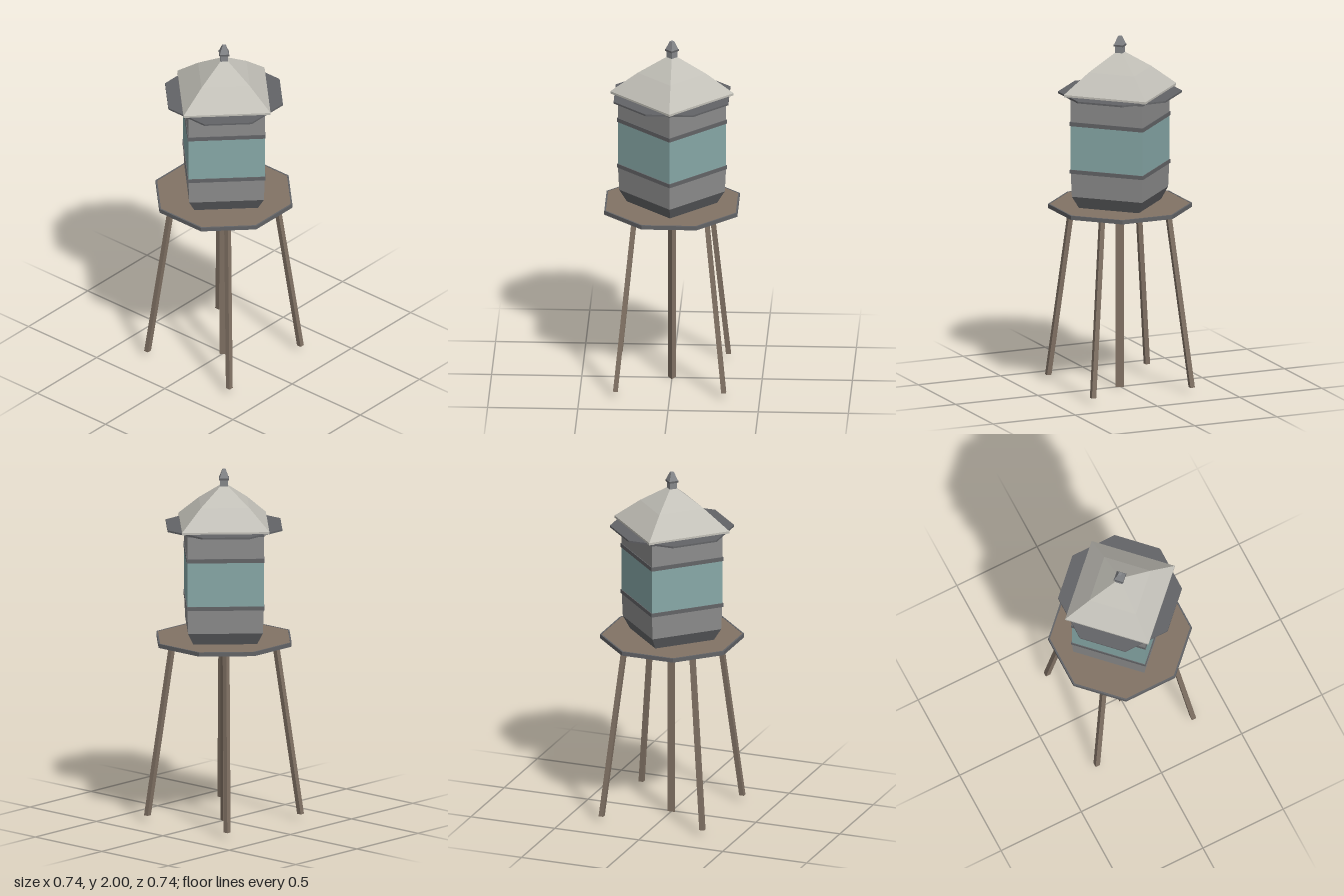
import * as THREE from 'three';

const paint = (name, color) => new THREE.MeshStandardMaterial({ name, color, flatShading: true });

export function createModel() {
  const tower = new THREE.Group();
  tower.name = 'waterTower';

  const wood = paint('wood', 0x827365);
  const iron = paint('dark iron', 0x636467);
  const steel = paint('grey steel', 0x8c8c8c);
  const teal = paint('teal paint', 0x87a8a7);
  const tin = paint('pale tin', 0xc2c0b8);
  const finialGrey = paint('finial grey', 0x85878a);

  const add = (name, geometry, material) => {
    const mesh = new THREE.Mesh(geometry, material);
    mesh.name = name;
    tower.add(mesh);
    return mesh;
  };

  // Upright prism between two heights; four sides put the corners on the axes
  const prism = (name, material, y0, y1, r0, r1 = r0, sides = 4, open = false) => {
    const g = new THREE.CylinderGeometry(r1, r0, y1 - y0, sides, 1, open);
    g.translate(0, (y0 + y1) / 2, 0);
    return add(name, g, material);
  };

  // Octagonal plate given by the distance to its flat sides
  const plate = (name, material, y0, y1, apothem) => {
    const mesh = prism(name, material, y0, y1, apothem / Math.cos(Math.PI / 8), undefined, 8);
    mesh.rotation.y = Math.PI / 8;
    return mesh;
  };

  // Four splayed legs: square posts sheared outward along the diagonals
  for (const sx of [-1, 1]) {
    for (const sz of [-1, 1]) {
      const g = new THREE.BoxGeometry(0.027, 0.995, 0.027);
      const p = g.attributes.position;
      for (let i = 0; i < p.count; i++) {
        const offset = p.getY(i) > 0 ? 0.2 : 0.3;
        p.setX(i, p.getX(i) + sx * offset);
        p.setZ(i, p.getZ(i) + sz * offset);
      }
      g.translate(0, 0.53, 0);
      g.computeVertexNormals();
      add('leg', g, wood);
    }
  }

  // Central three-sided riser
  prism('riserPipe', wood, 0, 1.024, 0.026, 0.026, 3);

  // Platform deck with a narrow iron rim
  plate('deck', wood, 1.022, 1.044, 0.36);
  const k = 1 / Math.cos(Math.PI / 8);
  const rimProfile = [[0.36, 1.022], [0.369, 1.022], [0.369, 1.045], [0.36, 1.045], [0.36, 1.022]]
    .map(([r, y]) => new THREE.Vector2(r * k, y));
  const rim = add('deckRim', new THREE.LatheGeometry(rimProfile, 8), iron);
  rim.rotation.y = Math.PI / 8;

  // Tank body, bottom to top
  prism('tankBase', iron, 1.044, 1.112, 0.25, 0.293);
  prism('lowerTank', steel, 1.112, 1.256, 0.293, 0.3);
  prism('paintedBand', teal, 1.256, 1.528, 0.3);
  prism('upperTank', steel, 1.528, 1.678, 0.3);
  for (const [y0, y1] of [[1.245, 1.267], [1.516, 1.539], [1.664, 1.677]]) {
    prism('hoop', iron, y0, y1, 0.306);
  }

  // Octagonal lid under the roof
  plate('tankLid', iron, 1.676, 1.686, 0.318);

  // Two-pitch roof with a thin eave
  prism('eave', tin, 1.684, 1.697, 0.342);
  prism('lowerRoof', tin, 1.697, 1.81, 0.342, 0.19, 4, true);
  prism('upperRoof', tin, 1.81, 1.907, 0.19, 0.03);

  // Finial
  prism('finialNeck', finialGrey, 1.9, 1.945, 0.031);
  prism('finialRing', iron, 1.943, 1.953, 0.039);
  prism('finialCap', finialGrey, 1.953, 2, 0.036, 0.013);

  return tower;
}
